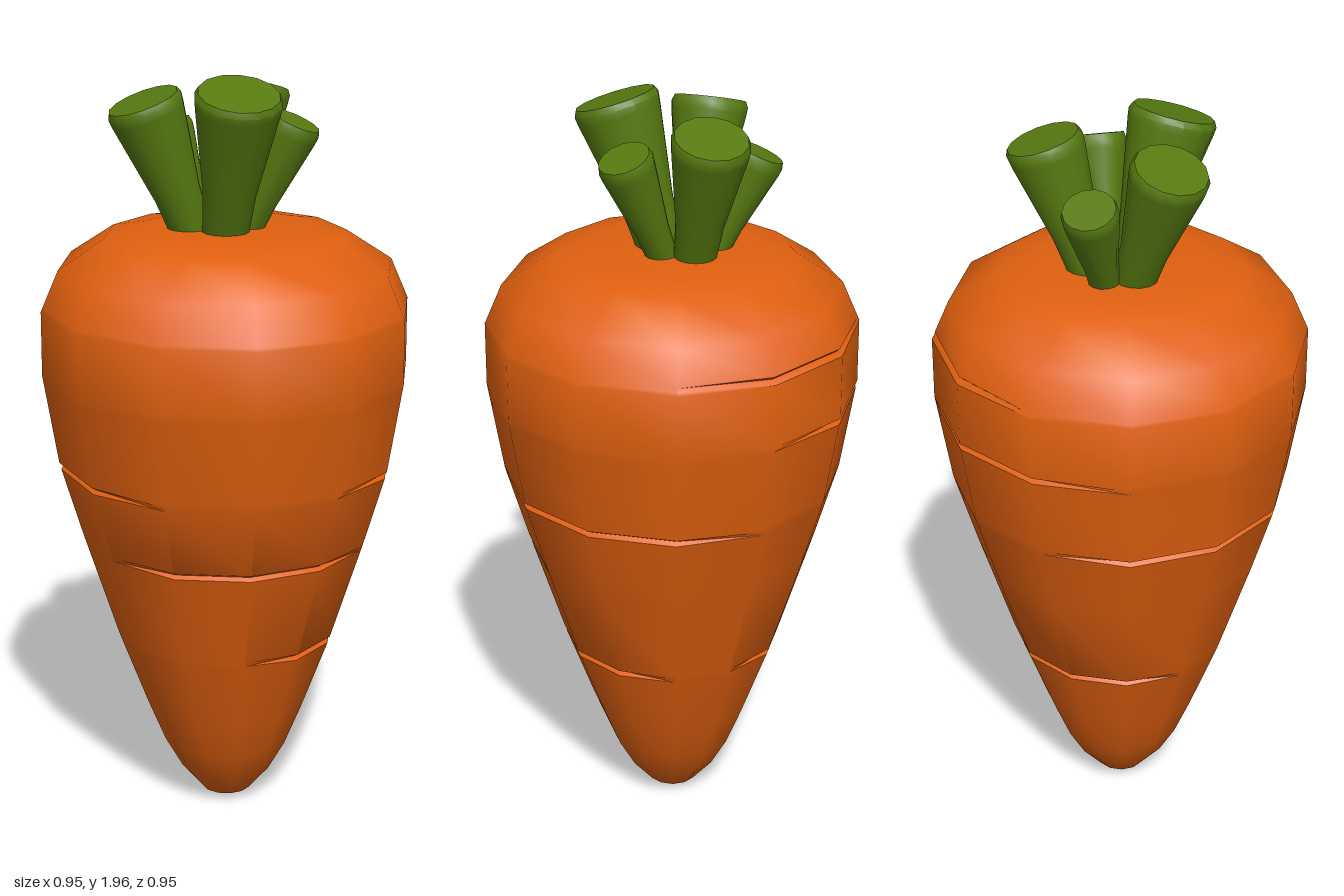
import * as THREE from 'three';
import { toCreasedNormals } from 'three/addons/utils/BufferGeometryUtils.js';

const orange = new THREE.MeshStandardMaterial({ color: 0xe0600f });
orange.name = 'carrot orange';
const green = new THREE.MeshStandardMaterial({ color: 0x567a10 });
green.name = 'stalk green';

const SIDES = 12;

// Root outline from tip to crown: [radius, height]
const outline = [
  [0, 0.005], [0.065, 0.025], [0.12, 0.09], [0.165, 0.17], [0.21, 0.28], [0.285, 0.48],
  [0.375, 0.76], [0.435, 0.96], [0.475, 1.2], [0.475, 1.365], [0.43, 1.47],
  [0.31, 1.55], [0.22, 1.566], [0, 1.566],
];

// Grooves: height, first and last side; both ends fade out
const grooves = [
  [0.485, 2, 6], [0.485, 7, 11],
  [0.755, 0, 4],
  [0.955, 9, 13], [0.955, 3, 7],
  [1.19, 7, 10],
  [1.375, 6, 9],
];

function radiusAt(y) {
  const i = outline.findIndex((p) => p[1] >= y);
  const [r0, y0] = outline[i - 1], [r1, y1] = outline[i];
  return r0 + (r1 - r0) * (y - y0) / (y1 - y0);
}

function rootGeometry() {
  const half = 0.009, depth = 0.014;
  const levels = [...new Set(grooves.map((g) => g[0]))];
  // Three close rings at each groove height replace nearby outline points
  const rings = outline.filter((p) => levels.every((y) => Math.abs(p[1] - y) > 0.012));
  for (const y of levels) {
    for (const d of [-half, 0, half]) rings.push([radiusAt(y + d), y + d]);
  }
  rings.sort((a, b) => a[1] - b[1] || b[0] - a[0]);
  const geo = new THREE.LatheGeometry(rings.map(([r, y]) => new THREE.Vector2(r, y)), SIDES);

  // Press the middle ring inward along each groove
  const pos = geo.attributes.position;
  for (const [y, from, to] of grooves) {
    const j = rings.findIndex((p) => p[1] === y);
    for (let i = 0; i <= SIDES; i++) {
      const pressed = [i, i + SIDES].some((s) => s > from && s < to);
      if (!pressed) continue;
      const k = i * rings.length + j;
      const scale = 1 - depth / rings[j][0];
      pos.setX(k, pos.getX(k) * scale);
      pos.setZ(k, pos.getZ(k) * scale);
    }
  }
  return toCreasedNormals(geo, 0.8);
}

// Cut stalk: flares upward from the crown and ends in a flat disc
function makeStalk([x, y, z, r]) {
  const base = new THREE.Vector3(x * 0.25 - 0.025, 1.5, z * 0.25);
  const axis = new THREE.Vector3(x, y, z).sub(base);
  const h = axis.length();
  const profile = [
    [0, 0], [r * 0.5, 0], [r * 0.62, h * 0.4], [r * 0.98, h - 0.035],
    [r, h - 0.015], [r * 0.93, h], [0, h],
  ].map((p) => new THREE.Vector2(...p));
  const mesh = new THREE.Mesh(toCreasedNormals(new THREE.LatheGeometry(profile, 14), 0.7), green);
  mesh.position.copy(base);
  mesh.quaternion.setFromUnitVectors(new THREE.Vector3(0, 1, 0), axis.normalize());
  return mesh;
}

export function createModel() {
  const model = new THREE.Group();
  model.name = 'carrot';

  const root = new THREE.Mesh(rootGeometry(), orange);
  root.name = 'root';
  model.add(root);

  // Stalk tops: centre x, y, z and radius
  const stalks = new THREE.Group();
  stalks.name = 'stalks';
  [
    [0.14, 1.93, 0.075, 0.11],
    [-0.1, 1.895, 0.185, 0.098],
    [-0.09, 1.9, -0.165, 0.098],
    [0.12, 1.84, -0.125, 0.07],
    [-0.215, 1.805, 0.025, 0.07],
  ].forEach((s, i) => {
    const stalk = makeStalk(s);
    stalk.name = `stalk${i + 1}`;
    stalks.add(stalk);
  });
  model.add(stalks);
  return model;
}
